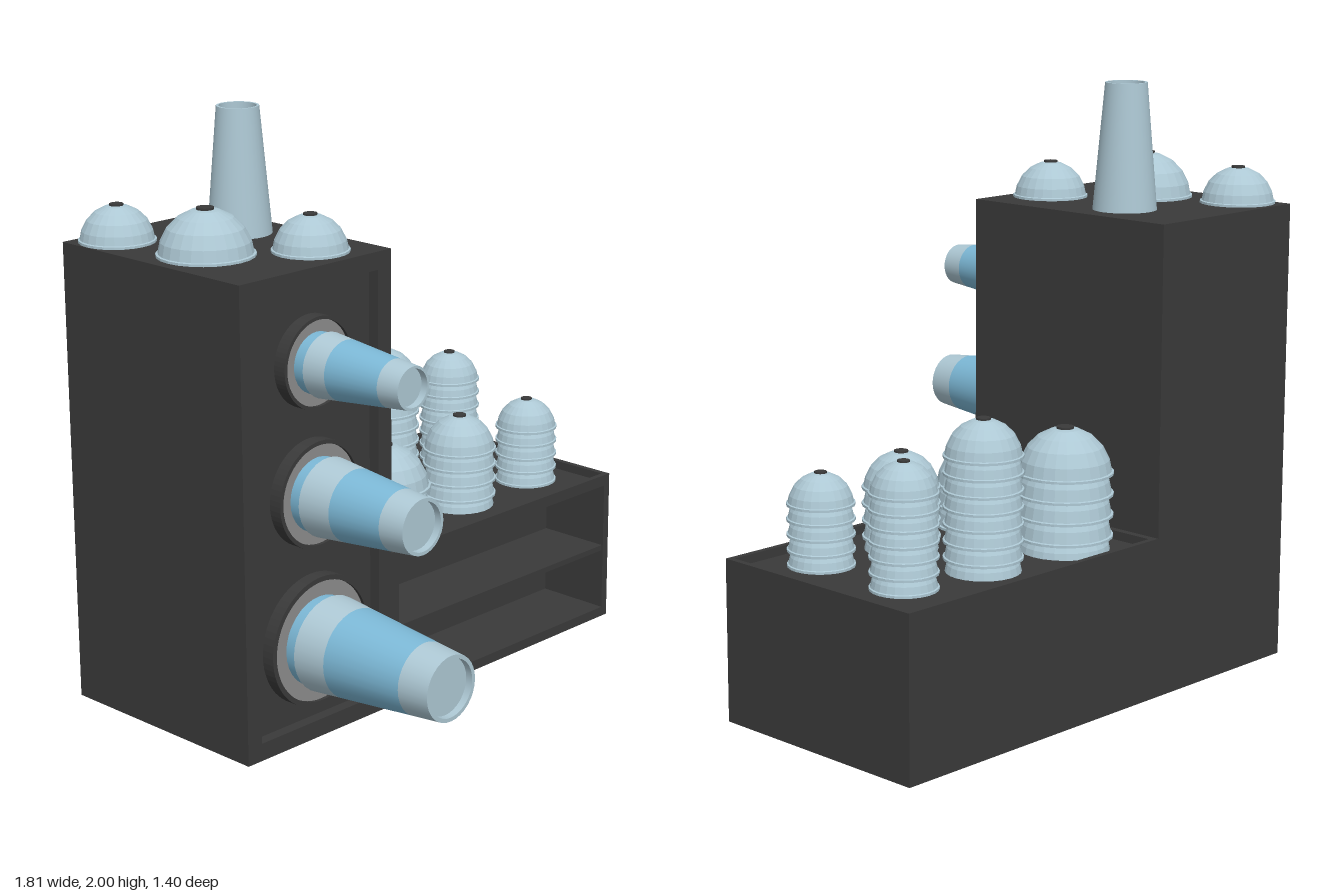
import * as THREE from 'three';

const mat = (name, color, flat = false) => {
  const m = new THREE.MeshStandardMaterial({ color, flatShading: flat, side: THREE.DoubleSide });
  m.name = name;
  return m;
};

export function createModel() {
  const root = new THREE.Group();
  root.name = 'cupAndLidOrganizer';
  const dark = mat('charcoal', 0x3a3a3a);
  const grey = mat('ringGrey', 0x8c8c8c);
  const pale = mat('paleBlue', 0xadc8d4);
  const lidMat = mat('lidPaleBlue', 0xadc8d4, true);
  const blue = mat('bandBlue', 0x7cb8d6);

  const add = (parent, name, geo, material) => {
    const m = new THREE.Mesh(geo, material);
    m.name = name;
    parent.add(m);
    return m;
  };
  const box = (name, x0, x1, y0, y1, z0, z1) => {
    const m = add(root, name, new THREE.BoxGeometry(x1 - x0, y1 - y0, z1 - z0), dark);
    m.position.set((x0 + x1) / 2, (y0 + y1) / 2, (z0 + z1) / 2);
    return m;
  };
  // Rectangular frame in the xy plane, extruded along +z
  const rect = (P, x0, x1, y0, y1) => {
    const p = new P();
    p.moveTo(x0, y0); p.lineTo(x1, y0); p.lineTo(x1, y1); p.lineTo(x0, y1); p.closePath();
    return p;
  };
  const frame = (name, outer, inner, depth) => {
    const s = rect(THREE.Shape, ...outer);
    s.holes.push(rect(THREE.Path, ...inner));
    return add(root, name, new THREE.ExtrudeGeometry(s, { depth, bevelEnabled: false }), dark);
  };

  // Tower with a shallow recessed front panel
  box('towerBody', -0.9, -0.24, 0, 1.58, -0.7, 0.09);
  frame('towerFrontFrame', [-0.9, -0.24, 0, 1.58], [-0.84, -0.3, 0.06, 1.52], 0.04).position.z = 0.09;

  // Low cabinet: solid back, open shelves in front, raised rim on top
  box('cabinetBack', -0.24, 0.9, 0, 0.515, -0.7, -0.14);
  frame('cabinetShelfFrame', [-0.24, 0.9, 0, 0.515], [-0.205, 0.872, 0.035, 0.505], 0.27).position.z = -0.14;
  box('shelf', -0.205, 0.872, 0.255, 0.275, -0.14, 0.125);
  const rim = frame('cabinetTopRim', [-0.24, 0.9, -0.13, 0.7], [-0.215, 0.88, -0.11, 0.68], 0.03);
  rim.rotation.x = -Math.PI / 2;
  rim.position.y = 0.515;

  // Upside-down cup along +y: list of [y0, r0, y1, r1, material], closed by an inset base
  const cup = (name, segments) => {
    const g = new THREE.Group();
    g.name = name;
    for (const [y0, r0, y1, r1, m] of segments) {
      const s = add(g, 'cupWall', new THREE.CylinderGeometry(r1, r0, y1 - y0, 32, 1, true), m);
      s.position.y = (y0 + y1) / 2;
    }
    const [, , h, r] = segments[segments.length - 1];
    const lip = add(g, 'cupBaseLip', new THREE.RingGeometry(r * 0.88, r, 32), pale);
    lip.rotation.x = -Math.PI / 2;
    lip.position.y = h;
    const inner = add(g, 'cupBaseInnerWall', new THREE.CylinderGeometry(r * 0.88, r * 0.88, 0.025, 32, 1, true), pale);
    inner.position.y = h - 0.0125;
    const base = add(g, 'cupBase', new THREE.CircleGeometry(r * 0.88, 32), pale);
    base.rotation.x = -Math.PI / 2;
    base.position.y = h - 0.025;
    root.add(g);
    return g;
  };

  // Dispensers: [y, collar radius, mouth radius, end radius, band start z, band end z, end z]
  const dispensers = [
    [1.27, 0.152, 0.107, 0.07, 0.255, 0.46, 0.54],
    [0.835, 0.18, 0.132, 0.092, 0.29, 0.488, 0.58],
    [0.335, 0.222, 0.162, 0.11, 0.29, 0.587, 0.7],
  ];
  for (const [y, rc, r0, r1, a, b, end] of dispensers) {
    const rAt = z => r0 + (r1 - r0) * (z - 0.17) / (end - 0.17);
    const collar = new THREE.Shape().absarc(0, 0, rc, 0, Math.PI * 2);
    collar.holes.push(new THREE.Path().absarc(0, 0, rc * 0.925, 0, Math.PI * 2));
    const c = add(root, 'dispenserCollar',
      new THREE.ExtrudeGeometry(collar, { depth: 0.047, bevelEnabled: false, curveSegments: 32 }), dark);
    c.position.set(-0.57, y, 0.09);
    const ring = add(root, 'dispenserRing', new THREE.RingGeometry(r0 * 0.9, rc * 0.93, 32), grey);
    ring.position.set(-0.57, y, 0.125);
    const g = cup('dispenserCup', [
      [0.09, r0 * 0.93, 0.17, r0 * 0.95, blue],
      [0.17, r0, a, rAt(a), pale],
      [a, rAt(a), b, rAt(b), blue],
      [b, rAt(b), end, r1, pale],
    ]);
    const mouth = add(g, 'cupMouthLip', new THREE.RingGeometry(r0 * 0.94, r0, 32), pale);
    mouth.rotation.x = -Math.PI / 2;
    mouth.position.y = 0.17;
    g.rotation.x = Math.PI / 2;
    g.position.set(-0.57, y, 0);
  }

  // Tall cup standing on the tower
  cup('standingCup', [[0, 0.107, 0.42, 0.07, pale]]).position.set(-0.415, 1.58, -0.385);

  // Domed lids: [x, z, rim radius, top y, floor y, spacing in the stack]
  const stacks = [
    [-0.78, -0.57, 0.127, 1.705, 1.58, 1],
    [-0.705, -0.23, 0.16, 1.733, 1.58, 1],
    [-0.45, -0.02, 0.127, 1.705, 1.58, 1],
    [-0.02, -0.485, 0.16, 0.922, 0.515, 0.07],
    [-0.02, -0.115, 0.16, 0.82, 0.515, 0.07],
    [0.35, -0.475, 0.129, 1.01, 0.515, 0.055],
    [0.35, -0.105, 0.129, 0.842, 0.515, 0.055],
    [0.69, -0.465, 0.11, 0.932, 0.515, 0.05],
    [0.69, -0.09, 0.11, 0.83, 0.515, 0.05],
  ];
  for (const [x, z, r, top, floor, step] of stacks) {
    const g = new THREE.Group();
    g.name = 'lidStack';
    const dome = r * 0.955;
    for (let y = top - dome; y > floor - 0.03; y -= step) {
      const pts = [[r, Math.max(y, floor)], [r, y + 0.008], [dome, y + 0.01]];
      for (let i = 1; i <= 5; i++) {
        const t = (i / 5) * Math.PI / 2;
        pts.push([Math.max(dome * Math.cos(t), 0.0001), y + dome * Math.sin(t)]);
      }
      add(g, 'lid', new THREE.LatheGeometry(pts.map(p => new THREE.Vector2(...p)), 24), lidMat);
    }
    const hole = add(g, 'strawHole', new THREE.CylinderGeometry(r * 0.18, r * 0.18, 0.009, 16), dark);
    hole.position.y = top - 0.002;
    g.position.set(x, 0, z);
    root.add(g);
  }

  // Centre the depth on z = 0
  root.updateMatrixWorld(true);
  return root;
}
